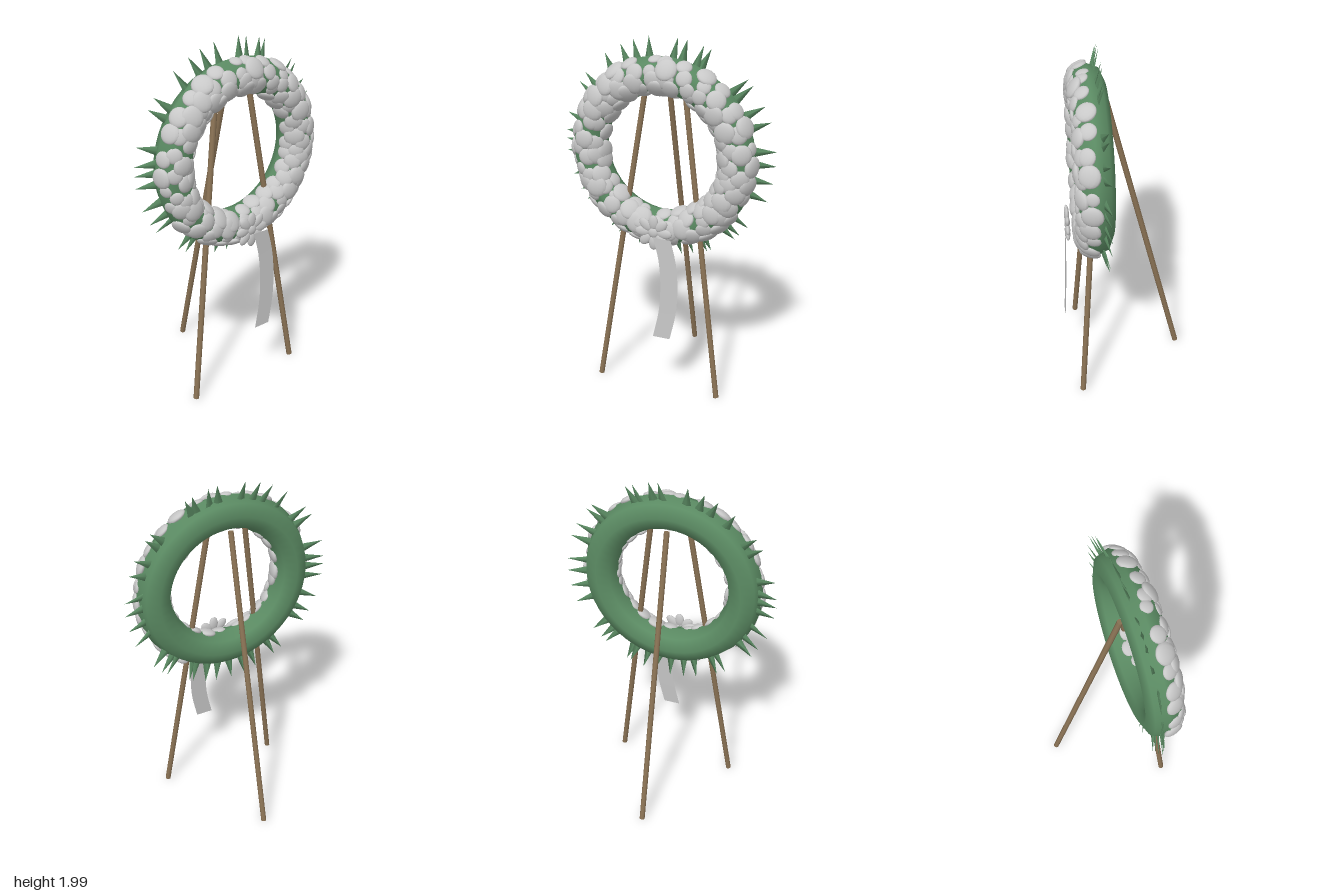
import * as THREE from 'three';

const CENTER = new THREE.Vector3(0.015, 1.385, 0.176);
const RING = 0.42, TUBE = 0.098;

const mat = (name, color) => {
  const m = new THREE.MeshStandardMaterial({ color });
  m.name = name;
  return m;
};

// small seeded generator, returns a value between a and b
let seed = 11;
const rand = (a, b) => {
  seed = (seed * 16807) % 2147483647;
  return a + (b - a) * (seed / 2147483647);
};

export function createModel() {
  seed = 11;
  const green = mat('leaf green', 0x5b8b63);
  const pale = mat('pale grey petals', 0xc8c8c8);
  const wood = mat('brown wood', 0x8b7355);
  const ribbonMat = mat('ribbon grey', 0xc6c6c6);
  ribbonMat.side = THREE.DoubleSide;

  const model = new THREE.Group();
  model.name = 'wreathOnEasel';
  const add = (parent, name, geo, material) => {
    const mesh = new THREE.Mesh(geo, material);
    mesh.name = name;
    parent.add(mesh);
    return mesh;
  };
  const addGroup = (name, parent = model) => {
    const g = new THREE.Group();
    g.name = name;
    parent.add(g);
    return g;
  };

  // wreath: everything is placed around the ring centre
  const wreath = addGroup('wreath');
  wreath.position.copy(CENTER);
  add(wreath, 'ringBase', new THREE.TorusGeometry(RING, TUBE, 8, 48), green);

  // blossoms: flattened spheres lying on the front half of the tube
  const blossoms = addGroup('blossoms', wreath);
  const ball = new THREE.SphereGeometry(1, 14, 10);
  const zAxis = new THREE.Vector3(0, 0, 1);
  const rows = [[-72, 24], [-36, 26], [-5, 27], [30, 29], [68, 30]];
  rows.forEach(([tilt, count], row) => {
    for (let i = 0; i < count; i++) {
      const a = ((i + row * 0.5 + rand(-0.25, 0.25)) / count) * Math.PI * 2;
      const phi = THREE.MathUtils.degToRad(tilt + rand(-7, 7));
      const radial = new THREE.Vector3(Math.cos(a), Math.sin(a), 0);
      const normal = radial.clone().multiplyScalar(Math.sin(phi));
      normal.z = Math.cos(phi);
      const size = rand(0.034, 0.062);
      const b = add(blossoms, 'blossom', ball, pale);
      b.position.copy(radial).multiplyScalar(RING).addScaledVector(normal, 0.09);
      b.quaternion.setFromUnitVectors(zAxis, normal);
      b.scale.set(size, size, size * 0.4);
    }
  });

  // pointed leaves around the rim, angles in degrees
  const leaves = addGroup('leaves', wreath);
  const leafGeo = new THREE.ConeGeometry(0.027, 0.125, 4).translate(0, 0.0625, 0).scale(1, 1, 0.25);
  const leafAngles = [-2, 6, 20, 28, 39, 44, 67, 70, 79, 85, 100, 108, 115, 127, 142, 148, 167, 175, 181,
    188, 200, 210, 216, 236, 240, 253, 260, 269, 277, 285, 293, 296, 309, 313, 320, 339, 348];
  for (const deg of leafAngles) {
    const a = THREE.MathUtils.degToRad(deg);
    const leaf = add(leaves, 'leaf', leafGeo, green);
    leaf.position.set(Math.cos(a) * 0.49, Math.sin(a) * 0.49, -0.034);
    leaf.rotation.set(-0.25, rand(-0.3, 0.3), a - Math.PI / 2 + rand(-0.1, 0.1), 'ZXY');
  }

  // easel legs
  const easel = addGroup('easel');
  const addLeg = (name, foot, top) => {
    const p = new THREE.Vector3(...foot), q = new THREE.Vector3(...top);
    const dir = q.clone().sub(p);
    const leg = add(easel, name, new THREE.CylinderGeometry(0.016, 0.016, dir.length(), 8), wood);
    leg.position.copy(p).add(q).multiplyScalar(0.5);
    leg.quaternion.setFromUnitVectors(new THREE.Vector3(0, 1, 0), dir.normalize());
  };
  addLeg('rightFrontLeg', [-0.343, 0.004, 0.273], [-0.094, 1.74, 0.137]);
  addLeg('leftFrontLeg', [0.373, 0.004, 0.273], [0.124, 1.74, 0.137]);
  addLeg('rearLeg', [0.015, 0.004, -0.335], [0.015, 1.735, 0.083]);

  // rosette at the foot of the wreath
  const rosette = addGroup('rosette');
  rosette.position.set(0.015, 0.975, 0.312);
  const petalCount = 8;
  for (let i = 0; i < petalCount; i++) {
    const a = (i / petalCount) * Math.PI * 2;
    const petal = add(rosette, 'petal', ball, pale);
    petal.position.set(Math.cos(a) * 0.064, Math.sin(a) * 0.058, 0);
    petal.rotation.z = a;
    petal.scale.set(0.043, 0.027, 0.014);
  }
  add(rosette, 'rosetteCenter', ball, pale).scale.set(0.03, 0.03, 0.016);

  // hanging ribbon, a flat strip bent along a curve
  const ribbonGeo = new THREE.PlaneGeometry(0.1, 1, 1, 12);
  const path = new THREE.CatmullRomCurve3([
    [0.07, 0.95, 0.327], [0.102, 0.82, 0.331], [0.114, 0.67, 0.337], [0.105, 0.52, 0.343], [0.072, 0.365, 0.35],
  ].map((p) => new THREE.Vector3(...p)));
  const pos = ribbonGeo.attributes.position;
  for (let i = 0; i < pos.count; i++) {
    const p = path.getPoint(0.5 - pos.getY(i));
    pos.setXYZ(i, p.x + pos.getX(i), p.y, p.z);
  }
  ribbonGeo.computeVertexNormals();
  add(model, 'ribbon', ribbonGeo, ribbonMat);

  return model;
}
